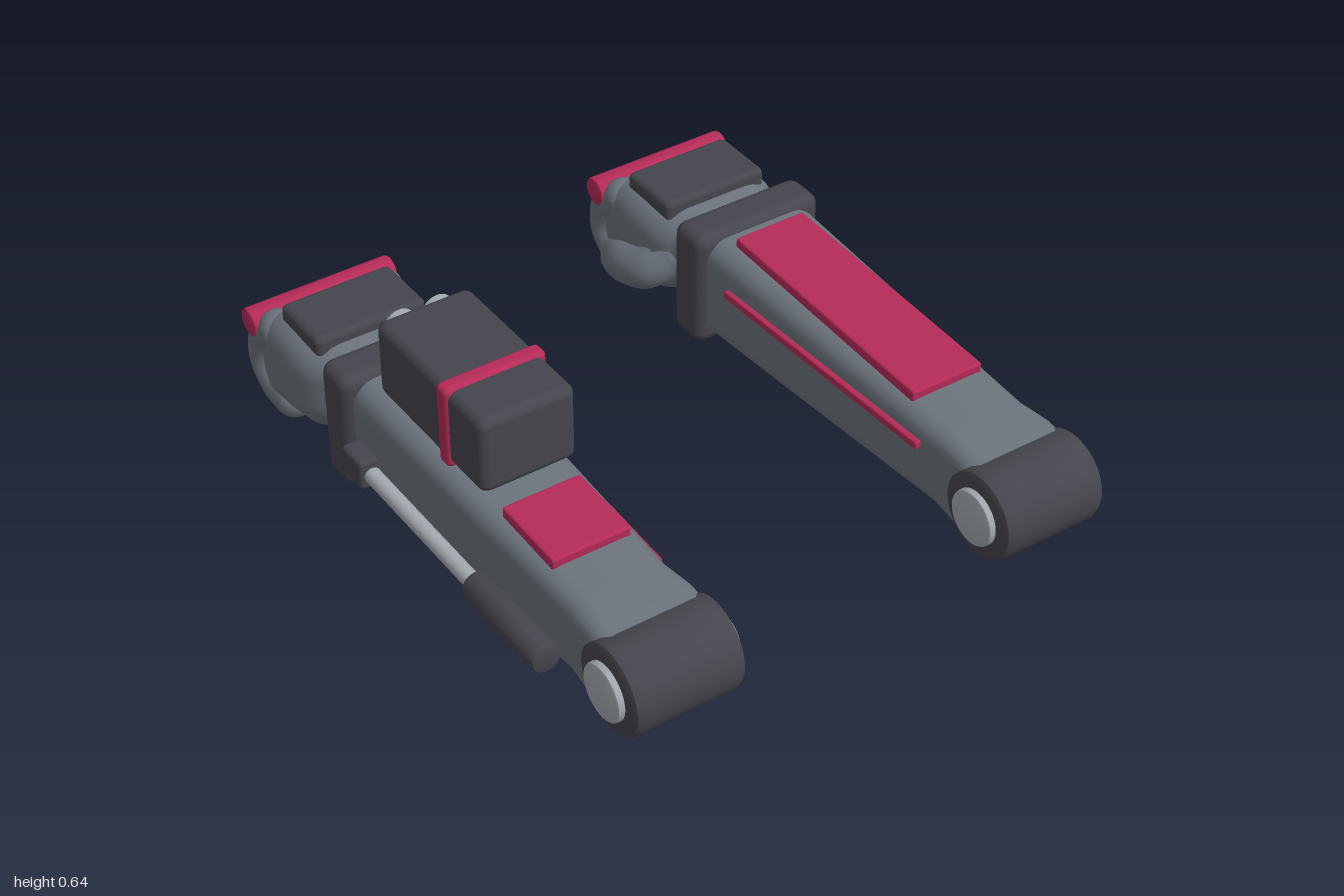
import * as THREE from 'three';
import { toCreasedNormals } from 'three/addons/utils/BufferGeometryUtils.js';
import { RoundedBoxGeometry } from 'three/addons/geometries/RoundedBoxGeometry.js';

const material = (name, color) => {
  const m = new THREE.MeshStandardMaterial({ color });
  m.name = name;
  return m;
};

// Rounded-rectangle cross-sections [z, halfWidth, yBottom, yTop, cornerRadius], listed from +z to -z
function loft(sections, steps = 5) {
  const pos = [], idx = [], n = 4 * (steps + 1);
  const ring = ([z, w, y0, y1, r]) => {
    const corners = [[w - r, y1 - r], [r - w, y1 - r], [r - w, y0 + r], [w - r, y0 + r]];
    corners.forEach(([cx, cy], k) => {
      for (let i = 0; i <= steps; i++) {
        const a = (k + i / steps) * Math.PI / 2;
        pos.push(cx + r * Math.cos(a), cy + r * Math.sin(a), z);
      }
    });
  };
  sections.forEach(ring);
  for (let i = 0; i < sections.length - 1; i++) {
    for (let j = 0; j < n; j++) {
      const a = i * n + j, b = i * n + (j + 1) % n;
      idx.push(a, a + n, b, b, a + n, b + n);
    }
  }
  // End caps
  const front = pos.length / 3, back = front + n;
  ring(sections[0]);
  ring(sections[sections.length - 1]);
  for (let j = 1; j < n - 1; j++) {
    idx.push(front, front + j, front + j + 1, back, back + j + 1, back + j);
  }
  const g = new THREE.BufferGeometry();
  g.setAttribute('position', new THREE.Float32BufferAttribute(pos, 3));
  g.setIndex(idx);
  g.computeVertexNormals();
  return g;
}

// Cylinder with bevelled rims, along y
function bevelCylinder(r, length, b) {
  const h = length / 2;
  const pts = [[0, -h], [r - b, -h], [r - b * 0.3, -h + b * 0.3], [r, -h + b],
    [r, h - b], [r - b * 0.3, h - b * 0.3], [r - b, h], [0, h]];
  return toCreasedNormals(new THREE.LatheGeometry(pts.map(p => new THREE.Vector2(...p)), 40), 0.7);
}

export function createModel() {
  const grey = material('armour grey', 0x6c747c);
  const dark = material('dark trim', 0x45454d);
  const red = material('crimson', 0xb52b58);
  const steel = material('light steel', 0xa4aab0);
  const model = new THREE.Group();
  model.name = 'forearmPair';

  const add = (parent, name, geometry, mat, x = 0, y = 0, z = 0) => {
    const mesh = new THREE.Mesh(geometry, mat);
    mesh.name = name;
    mesh.position.set(x, y, z);
    parent.add(mesh);
    return mesh;
  };
  const box = (parent, name, mat, w, h, d, r, x, y, z) =>
    add(parent, name, new RoundedBoxGeometry(w, h, d, 4, r), mat, x, y, z);

  // Rounded tube with spherical ends
  const limb = (parent, name, points, r) => {
    const group = new THREE.Group();
    group.name = name;
    parent.add(group);
    const v = points.map(p => new THREE.Vector3(...p));
    add(group, name + 'Body', new THREE.TubeGeometry(new THREE.CatmullRomCurve3(v), 24, r, 16), grey);
    for (const p of [v[0], v[v.length - 1]]) {
      add(group, name + 'End', new THREE.SphereGeometry(r, 16, 12), grey, p.x, p.y, p.z);
    }
  };

  // s = +1 builds the left arm, -1 the right; +s is the outer side
  const makeArm = (name, s) => {
    const arm = new THREE.Group();
    arm.name = name;
    arm.position.x = s * 0.6;
    model.add(arm);

    // Forearm and elbow
    add(arm, 'forearm', loft([
      [0.82, 0.166, 0.09, 0.34, 0.05], [0.76, 0.166, 0.085, 0.346, 0.05],
      [0.66, 0.156, 0.082, 0.35, 0.06], [0.2, 0.173, 0.065, 0.365, 0.065],
      [-0.44, 0.196, 0.045, 0.388, 0.07]]), grey);
    add(arm, 'elbow', bevelCylinder(0.138, 0.345, 0.025), dark, 0, 0.207, 0.863).rotation.z = Math.PI / 2;
    add(arm, 'elbowPin', bevelCylinder(0.085, 0.385, 0.01), steel, 0, 0.207, 0.863).rotation.z = Math.PI / 2;

    // Wrist and back-of-hand plate
    box(arm, 'wristCuff', dark, 0.45, 0.39, 0.142, 0.04, 0, 0.215, -0.452);
    box(arm, 'handPlate', dark, 0.36, 0.07, 0.22, 0.02, 0, 0.36, -0.72);

    // Fist
    add(arm, 'palm', loft([
      [-0.5, 0.165, 0.08, 0.345, 0.08], [-0.55, 0.165, 0.078, 0.348, 0.09],
      [-0.59, 0.19, 0.072, 0.355, 0.1], [-0.63, 0.222, 0.065, 0.36, 0.1],
      [-0.74, 0.23, 0.05, 0.362, 0.1], [-0.84, 0.23, 0.045, 0.355, 0.08],
      [-0.92, 0.21, 0.08, 0.31, 0.06]]), grey);
    for (let i = 0; i < 4; i++) {
      const x = (i - 1.5) * 0.116;
      limb(arm, 'finger', [[x, 0.283, -0.86], [x, 0.23, -0.925], [x, 0.14, -0.938],
        [x, 0.082, -0.88], [x, 0.072, -0.8]], 0.062);
    }
    limb(arm, 'thumb', [[-s * 0.15, 0.2, -0.63], [-s * 0.213, 0.15, -0.67],
      [-s * 0.225, 0.12, -0.76], [-s * 0.2, 0.09, -0.83]], 0.07);
    add(arm, 'knuckleBar', bevelCylinder(0.045, 0.48, 0.01), red, 0, 0.29, -0.928).rotation.z = Math.PI / 2;

    // Outer piston
    const px = s * 0.21;
    add(arm, 'pistonSleeve', bevelCylinder(0.046, 0.36, 0.012), dark, px, 0.158, 0.46).rotation.x = Math.PI / 2;
    add(arm, 'pistonRod', new THREE.CylinderGeometry(0.025, 0.025, 0.6, 20), steel, px, 0.155, 0).rotation.x = Math.PI / 2;
    box(arm, 'pistonBracket', dark, 0.075, 0.1, 0.11, 0.015, px, 0.158, -0.325);

    // Inner stripe
    box(arm, 'innerStripe', red, 0.022, 0.026, 0.88, 0.006, -s * 0.181, 0.275, 0.16).rotation.y = s * 0.032;
    return arm;
  };

  const topPlate = (arm, z, length) => {
    box(arm, 'topPlate', red, 0.245, 0.04, length, 0.008, 0, 0.381 - z * 0.036, z).rotation.x = 0.036;
  };

  const leftArm = makeArm('leftArm', 1);
  topPlate(leftArm, 0.087, 0.85);

  const rightArm = makeArm('rightArm', -1);
  topPlate(rightArm, 0.413, 0.25);

  // Four-barrel launcher on the right arm
  const launcher = new THREE.Group();
  launcher.name = 'launcher';
  rightArm.add(launcher);
  box(launcher, 'launcherMount', dark, 0.2, 0.08, 0.44, 0.01, 0, 0.38, -0.03);
  box(launcher, 'launcherBody', dark, 0.3, 0.245, 0.55, 0.03, 0, 0.522, -0.033);
  box(launcher, 'launcherBand', red, 0.32, 0.265, 0.055, 0.018, 0, 0.522, 0.055);
  const ring = [[0.032, -0.04], [0.05, -0.04], [0.05, 0.035], [0.045, 0.04], [0.032, 0.04], [0.032, -0.04]];
  const barrel = toCreasedNormals(
    new THREE.LatheGeometry(ring.map(p => new THREE.Vector2(...p)), 28), 0.6);
  for (const x of [-0.06, 0.06]) {
    for (const y of [0.465, 0.58]) {
      add(launcher, 'barrel', barrel, steel, x, y, -0.295).rotation.x = -Math.PI / 2;
    }
  }
  return model;
}
